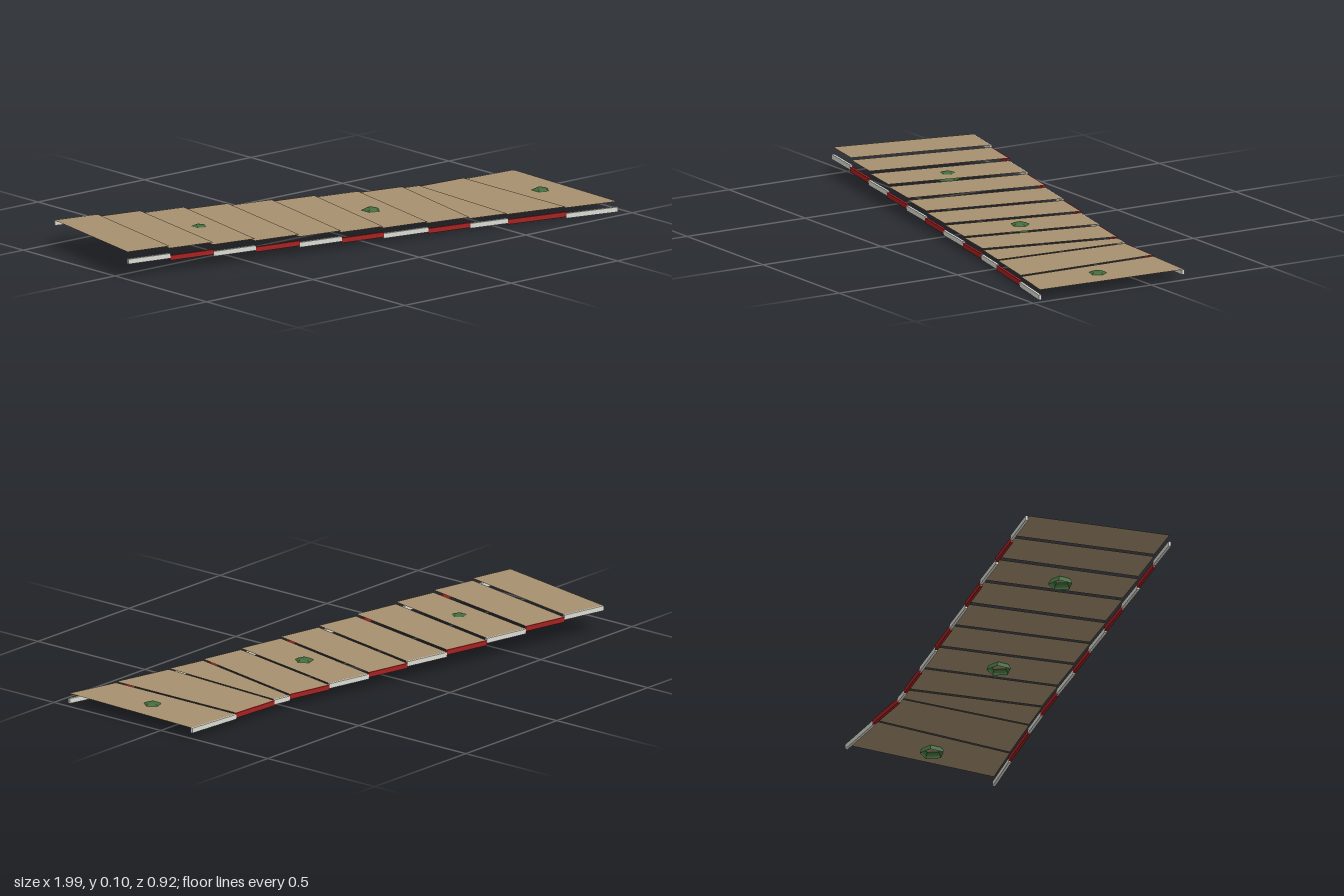
import * as THREE from 'three';

const paint = (color) => new THREE.MeshStandardMaterial({ color, flatShading: true, side: THREE.DoubleSide });
const sand = paint(0xa89070), white = paint(0xdcdcd4), red = paint(0xa52222), green = paint(0x3f6b3a);

const RAIL_H = 0.018, RAIL_W = 0.01;

// Edge points [x, z] at each section boundary, and the rail centre height of each section
const nearEdge = [[-0.995, 0.064], [-0.825, 0.096], [-0.65, 0.13], [-0.48, 0.161], [-0.30, 0.194], [-0.13, 0.225],
  [0.04, 0.257], [0.22, 0.29], [0.39, 0.322], [0.54, 0.354], [0.77, 0.405], [0.972, 0.453]];
const farEdge = [[-0.888, -0.46], [-0.715, -0.424], [-0.545, -0.389], [-0.37, -0.354], [-0.195, -0.317], [-0.02, -0.281],
  [0.15, -0.246], [0.325, -0.21], [0.50, -0.174], [0.57, -0.162], [0.77, -0.152], [0.995, -0.138]];
const nearY = [0.065, 0.057, 0.05, 0.044, 0.038, 0.032, 0.027, 0.022, 0.019, 0.015, 0.0095];
const farY = [0.09, 0.082, 0.073, 0.065, 0.057, 0.051, 0.045, 0.04, 0.035, 0.032, 0.028];

// Straight rail between two plan points
function rail([ax, az], [bx, bz], y, material) {
  const length = Math.hypot(bx - ax, bz - az);
  const mesh = new THREE.Mesh(new THREE.BoxGeometry(length, RAIL_H, RAIL_W), material);
  mesh.position.set((ax + bx) / 2, y, (az + bz) / 2);
  mesh.rotation.y = -Math.atan2(bz - az, bx - ax);
  return mesh;
}

// Flat four-cornered deck panel, facing up
function panel(corners, y) {
  const shape = new THREE.Shape(corners.map(([x, z]) => new THREE.Vector2(x, -z)));
  const mesh = new THREE.Mesh(new THREE.ShapeGeometry(shape).rotateX(-Math.PI / 2), sand);
  mesh.position.y = y;
  return mesh;
}

export function createModel() {
  const model = new THREE.Group();
  const deck = new THREE.Group(), nearRail = new THREE.Group(), farRail = new THREE.Group();
  deck.name = 'deck';
  nearRail.name = 'nearRail';
  farRail.name = 'farRail';

  // Stepped level panels with alternating edge rails
  for (let i = 0; i < nearY.length; i++) {
    const stripe = i % 2 ? red : white;
    const p = panel([nearEdge[i], nearEdge[i + 1], farEdge[i + 1], farEdge[i]], farY[i] + RAIL_H / 2 + 0.0008);
    p.name = 'deckPanel';
    const n = rail(nearEdge[i], nearEdge[i + 1], nearY[i], stripe);
    const f = rail(farEdge[i], farEdge[i + 1], farY[i], stripe);
    n.name = f.name = 'railSection';
    deck.add(p);
    nearRail.add(n);
    farRail.add(f);
  }
  model.add(deck, nearRail, farRail);

  // Five-sided bushes poking through the deck
  const dome = new THREE.SphereGeometry(0.045, 5, 6, 0, Math.PI * 2, 0, Math.PI / 2);
  dome.rotateY(Math.PI).scale(1, 0.69, 1);
  for (const [x, y, z] of [[-0.51, 0.059, -0.109], [0.18, 0.035, 0.028], [0.875, 0.017, 0.146]]) {
    const bush = new THREE.Mesh(dome, green);
    bush.name = 'bush';
    bush.position.set(x, y, z);
    model.add(bush);
  }
  return model;
}
